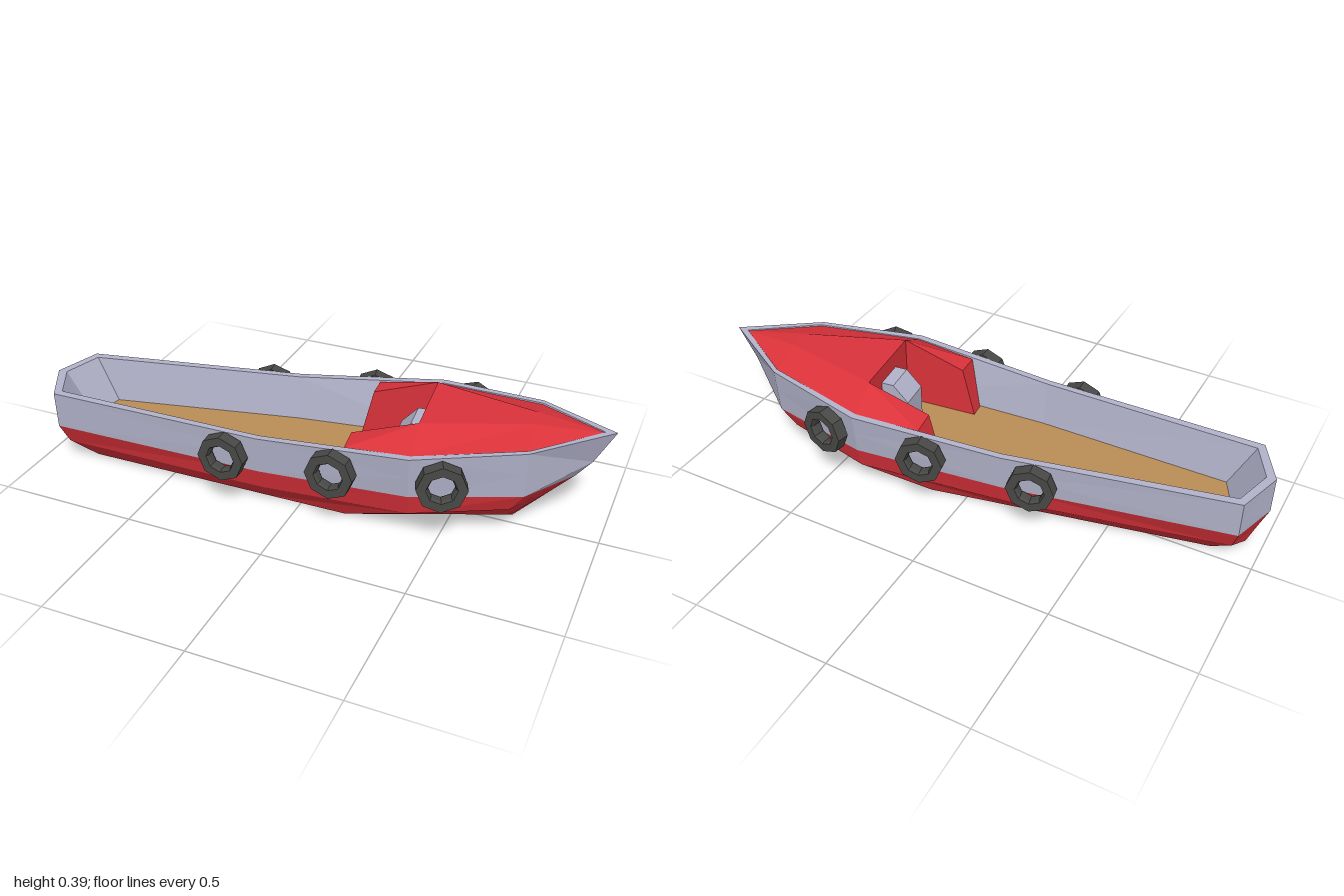
import * as THREE from 'three';

const mat = (name, color, side = THREE.DoubleSide) => {
  const m = new THREE.MeshStandardMaterial({ color, side, flatShading: true });
  m.name = name;
  return m;
};

// Skins a list of rows of [along, height, halfWidth] points, mirrored across the keel.
// With flip, each panel is split along its other diagonal.
function skin(name, material, rows, flip = false) {
  const pos = [];
  const tri = (a, b, c) => {
    for (const p of [a, b, c]) pos.push(p[0], p[1], p[2]);
    for (const p of [a, c, b]) pos.push(p[0], p[1], -p[2]);
  };
  for (let i = 0; i < rows.length - 1; i++) {
    const a = rows[i], b = rows[i + 1];
    for (let j = 0; j < a.length - 1; j++) {
      tri(a[j], a[j + 1], flip ? b[j] : b[j + 1]);
      tri(flip ? a[j + 1] : a[j], b[j + 1], b[j]);
    }
  }
  const g = new THREE.BufferGeometry();
  g.setAttribute('position', new THREE.Float32BufferAttribute(pos, 3));
  g.computeVertexNormals();
  const mesh = new THREE.Mesh(g, material);
  mesh.name = name;
  return mesh;
}

export function createModel() {
  const red = mat('red paint', 0xda323a);
  const grey = mat('grey paint', 0xb2b2ca);
  const wood = mat('wooden floor', 0xba8d56);
  const rubber = mat('tyre rubber', 0x484846, THREE.FrontSide);

  const model = new THREE.Group();
  model.name = 'boat';
  const boat = new THREE.Group();
  boat.name = 'hullAndFittings';
  boat.rotation.y = 0.105; // the boat lies slightly askew
  boat.position.z = 0.025;
  model.add(boat);

  // Hull rows, each from stern centre to bow; the bottom is open
  const bottom = [[-0.945, 0, 0], [-0.84, 0, 0.072], [-0.14, 0, 0.14], [0.15, 0, 0.168], [0.69, 0, 0.004], [0.7, 0, 0]];
  const chine = [[-0.975, 0.08, 0], [-0.915, 0.08, 0.13], [-0.14, 0.08, 0.21], [0.386, 0.1, 0.242], [0.7, 0.12, 0.15], [0.815, 0.12, 0]];
  const band = [[-1.005, 0.155, 0], [-0.935, 0.155, 0.16], [-0.14, 0.155, 0.23], [0.386, 0.178, 0.262], [0.747, 0.19, 0.165], [0.89, 0.198, 0]];
  const rim = [[-1.005, 0.29, 0], [-0.935, 0.29, 0.165], [-0.14, 0.29, 0.241], [0.386, 0.33, 0.28], [0.747, 0.36, 0.18], [1.003, 0.38, 0]];
  const middle = band.map((p, j) => p.map((v, k) => (v + rim[j][k]) / 2));
  middle[5] = [0.94, 0.26, 0];
  const innerRim = [[-0.972, 0.29, 0], [-0.916, 0.29, 0.138], [-0.14, 0.29, 0.217], [0.386, 0.33, 0.255], [0.747, 0.36, 0.16], [0.965, 0.377, 0]];
  const floorEdge = [[-0.88, 0.13, 0], [-0.835, 0.13, 0.12], [-0.14, 0.13, 0.193], [0.386, 0.13, 0.215], [0.62, 0.13, 0.13], [0.76, 0.13, 0]];
  const linerFoot = floorEdge.map(([s, , t]) => [s * 0.985, 0.085, t * 0.94]);

  boat.add(
    skin('lowerHull', red, [bottom, chine, band]),
    skin('upperHull', grey, [band, middle]),
    skin('bulwark', grey, [middle, rim], true),
    skin('gunwale', grey, [rim, innerRim]),
    skin('innerHull', grey, [innerRim, floorEdge, linerFoot]),
    skin('floor', wood, [floorEdge, floorEdge.map(([s, y]) => [s, y, 0])])
  );

  // Raised foredeck with two side arms around an open cockpit
  const deckEdge = [[0.16, 0.309, 0.234], [0.386, 0.327, 0.255], [0.747, 0.355, 0.16], [0.965, 0.374, 0]];
  const deckTop = [[0.16, 0.315, 0.145], [0.386, 0.39, 0.145], [0.747, 0.391, 0.04], [0.965, 0.374, 0]];
  const foot = [[0.112, 0.115, 0.145], [0.386, 0.115, 0.145]];
  boat.add(
    skin('deckSides', red, [deckEdge, deckTop]),
    skin('deckRoof', red, [deckTop.slice(1), deckTop.slice(1).map(([s, y]) => [s, y, 0])]),
    skin('cockpitSides', red, [deckTop.slice(0, 2), foot]),
    skin('cockpitBulkhead', red, [[[0.386, 0.115, 0], foot[1]], [[0.386, 0.39, 0], deckTop[1]]]),
    skin('armEnds', red, [[foot[0], [0.112, 0.115, 0.195]], [deckTop[0], deckEdge[0]]])
  );

  // Steering console against the bulkhead
  const profile = new THREE.Shape([[0.385, 0.13], [0.385, 0.33], [0.34, 0.33], [0.285, 0.27], [0.285, 0.13]].map(([x, y]) => new THREE.Vector2(x, y)));
  const steering = new THREE.Mesh(new THREE.ExtrudeGeometry(profile, { depth: 0.11, bevelEnabled: false }), grey);
  steering.name = 'steeringConsole';
  steering.position.z = -0.055;
  boat.add(steering);

  // Tyre fenders, three on each side
  const ring = [[0.046, -0.012], [0.052, -0.022], [0.084, -0.022], [0.084, 0.022],
    [0.052, 0.022], [0.046, 0.012], [0.046, -0.012]].map(([r, y]) => new THREE.Vector2(r, y));
  const tyre = new THREE.LatheGeometry(ring, 8).rotateX(Math.PI / 2);
  for (const side of [1, -1]) {
    for (const [s, y, t, yaw] of [[-0.258, 0.21, 0.256, -0.088], [0.13, 0.233, 0.286, -0.088], [0.496, 0.248, 0.276, 0.27]]) {
      const fender = new THREE.Mesh(tyre, rubber);
      fender.name = side > 0 ? 'frontTyreFender' : 'backTyreFender';
      fender.position.set(s, y, side * t);
      fender.rotation.y = side * yaw;
      boat.add(fender);
    }
  }
  return model;
}
